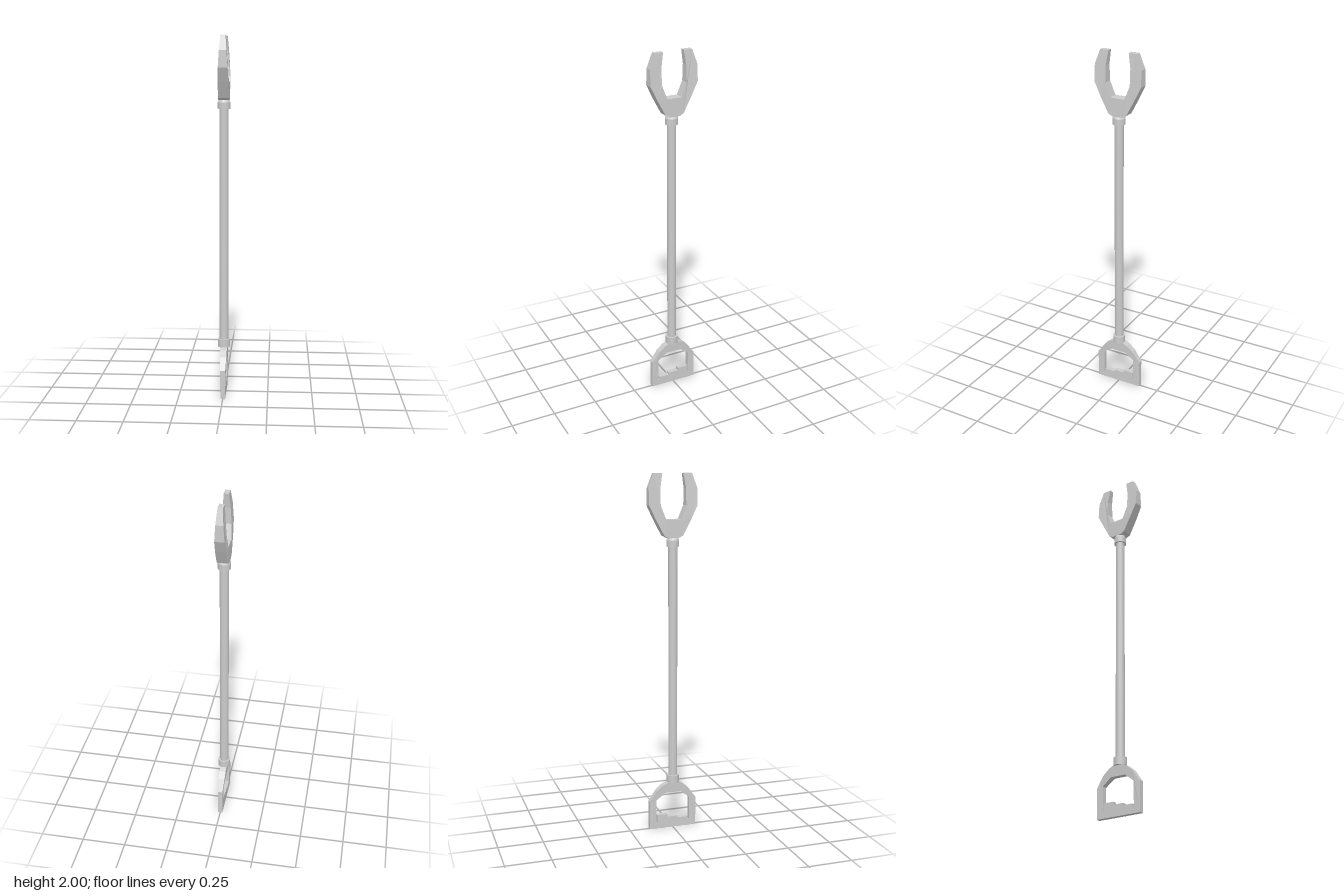
import * as THREE from 'three';

const material = new THREE.MeshStandardMaterial({ color: 0xcccccc, flatShading: true });
const smooth = new THREE.MeshStandardMaterial({ color: 0xcccccc });
const AXIS_Z = 0.004;

// Half thickness at height y, interpolated from [y, half] pairs
function halfAt(table, y) {
  for (let i = 1; i < table.length; i++) {
    const [y0, h0] = table[i - 1], [y1, h1] = table[i];
    if (y <= y1) return THREE.MathUtils.mapLinear(Math.max(y, y0), y0, y1, h0, h1);
  }
  return table[table.length - 1][1];
}

const toVectors = (points) => points.map(([z, y]) => new THREE.Vector2(z, y));

// Plate drawn in the z-y plane whose thickness varies with height
function taperedPlate(name, outline, holes, table) {
  const shape = new THREE.Shape(toVectors(outline));
  holes.forEach((h) => shape.holes.push(new THREE.Path(toVectors(h))));
  const geometry = new THREE.ExtrudeGeometry(shape, { depth: 1, bevelEnabled: false });
  geometry.translate(0, 0, -0.5);
  const p = geometry.attributes.position;
  for (let i = 0; i < p.count; i++) p.setZ(i, p.getZ(i) * 2 * halfAt(table, p.getY(i)));
  geometry.rotateY(-Math.PI / 2);
  geometry.computeVertexNormals();
  const mesh = new THREE.Mesh(geometry, material);
  mesh.name = name;
  return mesh;
}

// Adds the mirrored half of a profile in reverse order
const mirrored = (half) => [...half, ...half.map(([z, y]) => [-z, y]).reverse()];

// Upright cylinder on the tool's axis
function rod(name, bottomRadius, topRadius, y0, y1) {
  const geometry = new THREE.CylinderGeometry(topRadius, bottomRadius, y1 - y0, 16);
  const mesh = new THREE.Mesh(geometry, smooth);
  mesh.position.set(0, (y0 + y1) / 2, AXIS_Z);
  mesh.name = name;
  return mesh;
}

export function createModel() {
  const model = new THREE.Group();
  model.name = 'forkedTool';

  // Open jaw: outer edge going up, then inner edge going down
  const jaw = mirrored([
    [0.03, 1.655], [0.053, 1.668], [0.1, 1.755], [0.137, 1.83], [0.137, 1.92], [0.108, 2],
    [0.059, 2], [0.072, 1.92], [0.072, 1.83], [0.042, 1.755],
  ]);
  model.add(taperedPlate('jaw', jaw, [],
    [[1.655, 0.03], [1.755, 0.029], [1.83, 0.026], [1.92, 0.02], [2, 0.014]]));

  // Shaft with a collar at each end
  model.add(rod('shaft', 0.025, 0.025, 0.29, 1.63));
  model.add(rod('upperCollar', 0.035, 0.035, 1.608, 1.643));
  model.add(rod('upperCollarRim', 0.035, 0.027, 1.643, 1.66));
  model.add(rod('lowerCollar', 0.035, 0.035, 0.268, 0.312));

  // Loop handle, with a stepped sill inside its opening
  const handle = mirrored([
    [0.137, 0], [0.137, 0.165], [0.092, 0.228], [0.055, 0.258], [0.03, 0.27],
  ]);
  const opening = [
    [0.098, 0.035], [0.098, 0.17], [0.045, 0.21], [-0.045, 0.21], [-0.098, 0.17], [-0.098, 0.035],
    [-0.093, 0.035], [-0.093, 0.08], [-0.032, 0.08], [-0.032, 0.064], [0.029, 0.064],
    [0.029, 0.052], [0.09, 0.052], [0.09, 0.035],
  ];
  model.add(taperedPlate('handle', handle, [opening],
    [[0, 0.013], [0.165, 0.014], [0.21, 0.017], [0.27, 0.019]]));

  return model;
}
